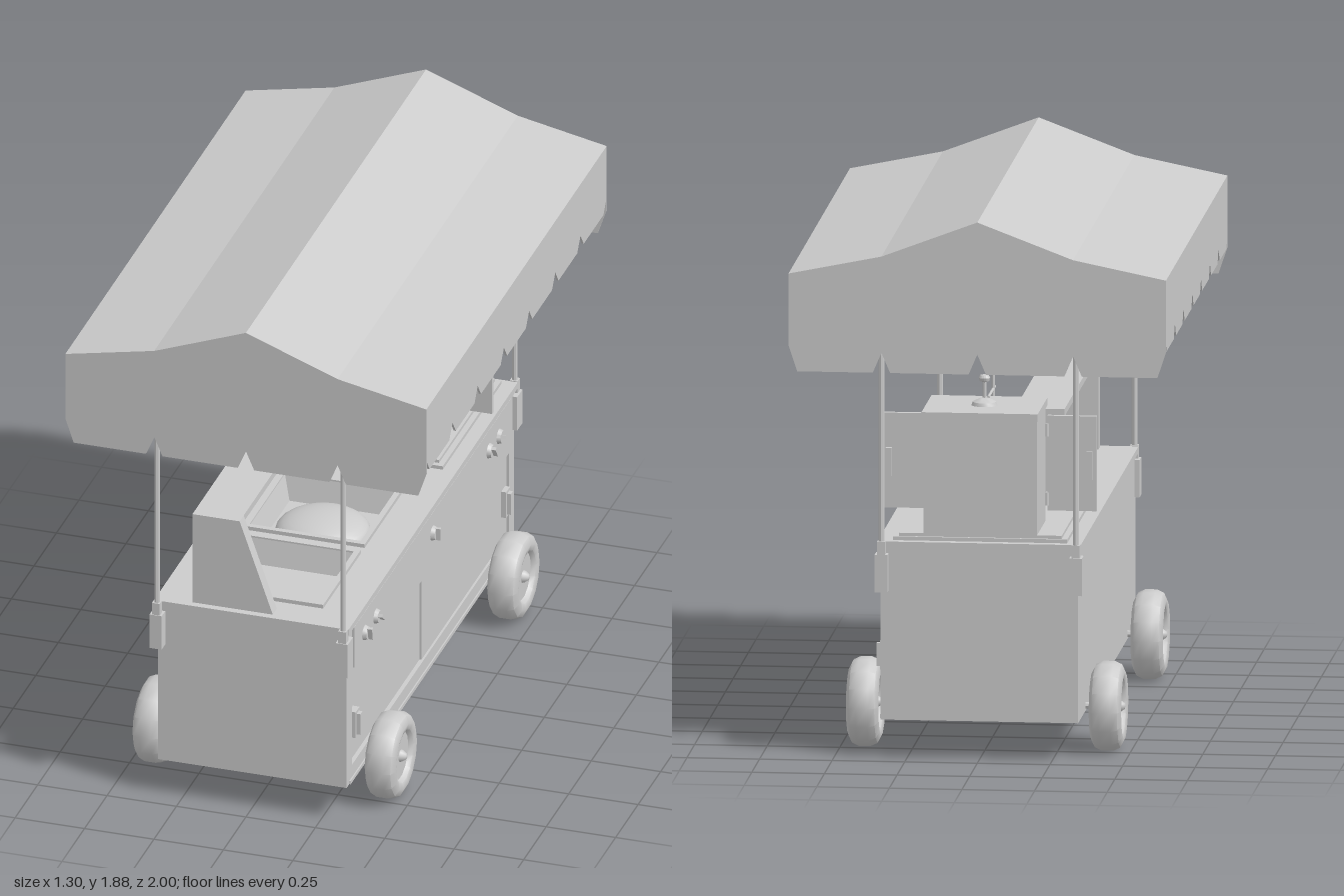
import * as THREE from 'three';
import { toCreasedNormals } from 'three/addons/utils/BufferGeometryUtils.js';

const grey = new THREE.MeshStandardMaterial({ color: 0xcccccc, side: THREE.DoubleSide });
const flat = new THREE.MeshStandardMaterial({ color: 0xcccccc, side: THREE.DoubleSide, flatShading: true });

export function createModel() {
  const root = new THREE.Group();
  const add = (name, geo, x = 0, y = 0, z = 0, mat = grey, parent = root) => {
    const m = new THREE.Mesh(geo, mat);
    m.name = name;
    m.position.set(x, y, z);
    parent.add(m);
    return m;
  };
  // box given by its limits on each axis
  const box = (name, x0, x1, y0, y1, z0, z1, parent = root) =>
    add(name, new THREE.BoxGeometry(x1 - x0, y1 - y0, z1 - z0), (x0 + x1) / 2, (y0 + y1) / 2, (z0 + z1) / 2, grey, parent);
  const cyl = (name, rt, rb, h, x, y, z, n = 16, parent = root) =>
    add(name, toCreasedNormals(new THREE.CylinderGeometry(rt, rb, h, n), 0.7), x, y, z, grey, parent);
  const rod = (name, a, b, r, parent = root) => {
    const p = new THREE.Vector3(...a), q = new THREE.Vector3(...b);
    const m = cyl(name, r, r, p.distanceTo(q), 0, 0, 0, 8, parent);
    m.position.copy(p).add(q).multiplyScalar(0.5);
    m.quaternion.setFromUnitVectors(new THREE.Vector3(0, 1, 0), q.sub(p).normalize());
    return m;
  };
  const poly = (pts) => new THREE.Shape(pts.map((p) => new THREE.Vector2(...p)));
  const rect = (x0, x1, y0, y1) => [[x0, y0], [x1, y0], [x1, y1], [x0, y1]];
  const plate = (pts, depth, holes = []) => {
    const s = poly(pts);
    holes.forEach((h) => s.holes.push(poly(h)));
    return new THREE.ExtrudeGeometry(s, { depth, bevelEnabled: false });
  };

  // Cabinet: open underneath, with a recessed door bay on the +x side
  box('backWall', -0.34, -0.325, 0.14, 0.74, -0.93, 0.93);
  for (const s of [-1, 1]) box('endWall', -0.34, 0.34, 0.14, 0.74, s * 0.9225 - 0.0075, s * 0.9225 + 0.0075);
  add('frontWall', plate(rect(-0.93, 0.93, 0.14, 0.74), 0.02, [rect(-0.87, 0.87, 0.2, 0.52)]).rotateY(Math.PI / 2), 0.32);
  box('controlPanel', 0.34, 0.348, 0.58, 0.735, -0.87, 0.87);
  box('lowerRail', 0.335, 0.345, 0.14, 0.153, -0.9, 0.9);
  box('slidingDoor', 0.315, 0.325, 0.19, 0.53, 0.07, 0.88);
  box('slidingDoor', 0.322, 0.332, 0.19, 0.53, -0.88, 0.075);
  for (const z of [0.838, -0.832]) {
    box('doorHandleBase', 0.325, 0.35, 0.3, 0.4, z - 0.022, z + 0.022);
    box('doorHandleGrip', 0.345, 0.364, 0.31, 0.39, z - 0.012, z + 0.012);
  }

  // Control knobs
  for (const [i, z] of [0.755, 0.63, 0, -0.625, -0.735].entries()) {
    const knob = new THREE.Group();
    knob.name = 'controlKnob';
    knob.position.set(0.348, 0.657, z);
    knob.rotation.x = [0.2, 0.9, 0, 0.6, 1.1][i];
    root.add(knob);
    cyl('knobDial', 0.022, 0.027, 0.014, 0.007, 0, 0, 14, knob).rotation.z = -Math.PI / 2;
    box('knobGrip', 0.01, 0.03, -0.022, 0.022, -0.006, 0.006, knob);
  }

  // Counter with two pan openings
  const pans = [[0.40, 0.82], [-0.07, 0.36]];
  add('counterTop', plate(rect(-0.35, 0.35, -0.94, 0.94), 0.022,
    pans.map(([a, b]) => rect(-0.2, 0.2, -b + 0.02, -a - 0.02))).rotateX(-Math.PI / 2), 0, 0.74);
  for (const [a, b] of pans) {
    const w = 0.4, l = b - a - 0.04, c = (a + b) / 2;
    add('panRim', plate(rect(-0.22, 0.22, -b, -a), 0.014, [rect(-0.2, 0.2, -b + 0.02, -a - 0.02)]).rotateX(-Math.PI / 2), 0, 0.762);
    const side = new THREE.CylinderGeometry(Math.SQRT1_2, Math.SQRT1_2 * 0.88, 0.09, 4, 1, true).rotateY(Math.PI / 4).scale(w, 1, l);
    add('panSides', side, 0, 0.725, c, flat);
    box('panFloor', -w * 0.44, w * 0.44, 0.675, 0.682, c - l * 0.44, c + l * 0.44);
  }
  const dome = new THREE.SphereGeometry(0.165, 24, 8, 0, Math.PI * 2, 0, Math.PI / 2).scale(1, 0.4, 1);
  add('griddleDome', dome, 0, 0.682, 0.145);

  // Serving guard: two slanted end panels joined by a shelf
  const guard = [[-0.22, 0.76], [0.07, 0.76], [-0.05, 1.105], [-0.22, 1.105]];
  for (const z of [0.87, -0.24]) add('guardEnd', plate(guard, 0.045), 0, 0, z);
  box('guardShelf', -0.22, -0.05, 1.08, 1.105, -0.24, 0.915);

  // Grill base plate
  box('grillBase', -0.3, 0.3, 0.762, 0.775, -0.91, -0.26);
  box('grillBaseTop', -0.28, 0.28, 0.775, 0.786, -0.9, -0.28);

  // Upright roasting oven, open toward +z
  const oven = new THREE.Group();
  oven.name = 'roastingOven';
  root.add(oven);
  for (const s of [-1, 1]) {
    box('ovenSide', s * 0.18 - 0.015, s * 0.18 + 0.015, 0.785, 1.185, -0.905, -0.615, oven);
    // open door folded out flat, with hinges and outer handle
    box('ovenDoor', s * 0.285 - 0.085, s * 0.285 + 0.085, 0.82, 1.15, -0.61, -0.592, oven);
    box('doorHandle', s * 0.345 - 0.01, s * 0.345 + 0.01, 0.93, 1.03, -0.625, -0.61, oven);
    for (const y of [0.86, 1.1]) cyl('doorHinge', 0.009, 0.009, 0.045, s * 0.198, y, -0.605, 8, oven);
  }
  box('ovenBack', -0.195, 0.195, 0.785, 1.185, -0.905, -0.885, oven);
  box('ovenFloor', -0.18, 0.18, 0.785, 0.8, -0.905, -0.615, oven);
  box('ovenLid', -0.2, 0.2, 1.185, 1.212, -0.925, -0.597, oven);
  // Heating grid on the oven's back wall
  box('burnerBack', -0.145, 0.145, 0.81, 1.15, -0.885, -0.87, oven);
  for (let i = 0; i < 9; i++) {
    const x = -0.12 + i * 0.03;
    box('burnerUpright', x - 0.005, x + 0.005, 0.82, 1.14, -0.87, -0.855, oven);
  }
  for (let i = 0; i < 10; i++) {
    const y = 0.83 + i * 0.033;
    box('burnerBar', -0.13, 0.13, y - 0.004, y + 0.004, -0.862, -0.852, oven);
  }
  // Lid vent
  const vent = [[0, 0], [0.045, 0], [0.04, 0.012], [0.02, 0.022], [0.007, 0.026], [0.007, 0.08],
    [0.017, 0.084], [0.02, 0.095], [0.015, 0.104], [0, 0.106]];
  add('lidVent', toCreasedNormals(new THREE.LatheGeometry(vent.map((p) => new THREE.Vector2(...p)), 16), 0.6), 0, 1.212, -0.765, grey, oven);

  // Vertical spit with drip plate
  rod('spitRod', [0, 0.785, -0.48], [0, 1.275, -0.48], 0.006);
  add('spitTip', new THREE.ConeGeometry(0.009, 0.04, 8), 0, 1.288, -0.48);
  rod('spitArm', [0, 1.216, -0.435], [0, 1.216, -0.64], 0.005);
  cyl('spitPlate', 0.08, 0.108, 0.014, 0, 0.849, -0.48, 24);
  cyl('spitFoot', 0.025, 0.03, 0.015, 0, 0.792, -0.48);

  // Wheels with rounded tyres and hubs
  const tyre = [[0, 0.035], [0.085, 0.035], [0.095, 0.05], [0.118, 0.056], [0.143, 0.044], [0.154, 0.02]];
  const outline = [...tyre, ...tyre.map(([r, h]) => [r, -h]).reverse()].map((p) => new THREE.Vector2(...p).multiply(new THREE.Vector2(1, -1)));
  for (const s of [-1, 1]) for (const z of [0.68, -0.68]) {
    const wheel = new THREE.Group();
    wheel.name = 'wheel';
    wheel.position.set(s * 0.418, 0.157, z);
    wheel.rotation.z = Math.PI / 2;
    root.add(wheel);
    add('tyre', toCreasedNormals(new THREE.LatheGeometry(outline, 14), 0.75), 0, 0, 0, grey, wheel);
    add('hub', new THREE.SphereGeometry(0.028, 12, 8).scale(1, 2.15, 1), 0, 0, 0, grey, wheel);
  }
  for (const z of [0.68, -0.68]) rod('axle', [-0.4, 0.157, z], [0.4, 0.157, z], 0.012);

  // Canopy posts and their brackets
  for (const sx of [-1, 1]) for (const sz of [-1, 1]) {
    const x = sx * 0.335, z = sz * 0.953;
    rod('canopyPost', [x, 0.6, z], [x, 1.75, z], 0.01);
    box('postBracket', x - 0.022, x + 0.022, 0.59, 0.72, sz * 0.94 - 0.03, sz * 0.94 + 0.03);
    box('bracketCollar', x - 0.014, x + 0.014, 0.72, 0.765, z - 0.014, z + 0.014);
  }

  // Canopy skin
  const ridge = [[-0.65, 1.7], [-0.33, 1.765], [0, 1.89], [0.33, 1.765], [0.65, 1.7]];
  const under = ridge.map(([x, y]) => [x, y - 0.008]).reverse();
  add('canopyRoof', plate([...ridge, ...under], 2), 0, 0, -1);
  // bottom hem with V notches, from left to right
  const hem = (half, corner, y, notchY, w, at) => [[-half, corner[1]], [-corner[0], y],
    ...at.flatMap((c) => [[c - w, y], [c, notchY], [c + w, y]]), [corner[0], y], [half, corner[1]]];
  const endHem = hem(0.65, [0.62, 1.45], 1.36, 1.43, 0.03, [-0.33, 0, 0.33]);
  for (const z of [-1, 0.992]) add('endValance', plate([...endHem, ...[...ridge].reverse()], 0.008), 0, 0, z);
  const sideHem = hem(1, [0.965, 1.5], 1.45, 1.5, 0.036, [-0.71, -0.43, -0.14, 0.14, 0.43, 0.71]);
  for (const x of [-0.65, 0.642])
    add('sideValance', plate([...sideHem, [1, 1.7], [-1, 1.7]], 0.008).rotateY(Math.PI / 2), x);

  // Canopy frame: lengthwise purlins and cross rafters
  const frame = ridge.map(([x, y]) => [x * 0.965, y - 0.022]);
  for (const [x, y] of frame) rod('purlin', [x, y, -0.97], [x, y, 0.97], 0.011);
  for (const z of [-0.955, -0.32, 0.32, 0.955])
    for (let i = 0; i < 4; i++) rod('rafter', [...frame[i], z], [...frame[i + 1], z], 0.011);

  return root;
}
